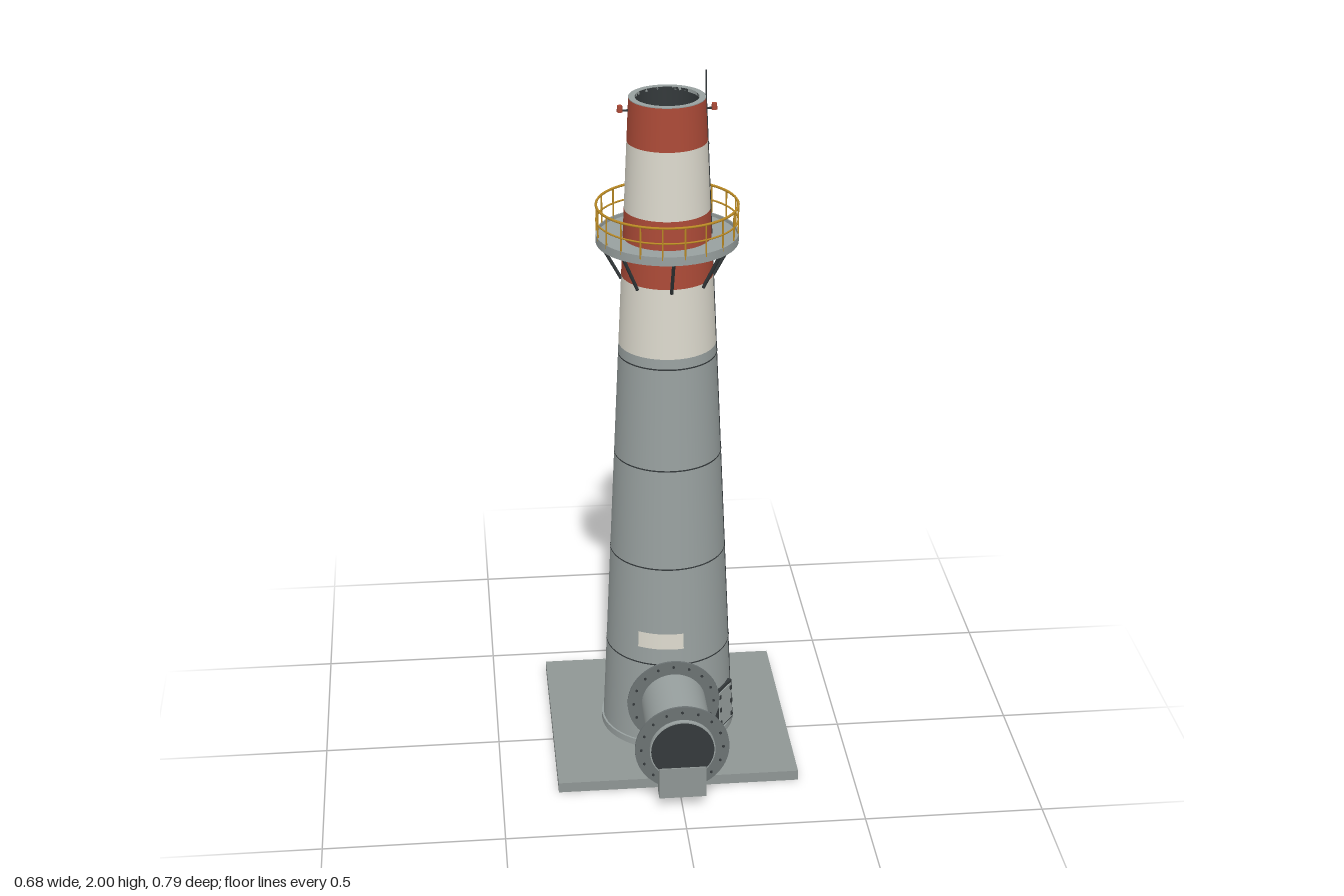
import * as THREE from 'three';

const mat = (name, color, side = THREE.FrontSide) => {
  const m = new THREE.MeshStandardMaterial({ color, side });
  m.name = name;
  return m;
};

export function createModel() {
  const steel = mat('grey steel', 0x98a09f, THREE.DoubleSide);
  const slabGrey = mat('concrete grey', 0x8f9694);
  const white = mat('off white', 0xdbd8cc, THREE.DoubleSide);
  const red = mat('warning red', 0xab4a37);
  const dark = mat('dark steel', 0x34393b, THREE.DoubleSide);
  const flangeGrey = mat('flange grey', 0x6b7273);
  const yellow = mat('rail yellow', 0xbd8c25);

  const model = new THREE.Group();
  model.name = 'chimney';
  // everything on the stack is placed around its own axis
  const stack = new THREE.Group();
  stack.name = 'stack';
  stack.position.z = -0.0565;
  model.add(stack);

  const add = (parent, name, geo, material, x = 0, y = 0, z = 0) => {
    const m = new THREE.Mesh(geo, material);
    m.name = name;
    m.position.set(x, y, z);
    parent.add(m);
    return m;
  };
  const group = (parent, name) => {
    const g = new THREE.Group();
    g.name = name;
    parent.add(g);
    return g;
  };
  const V = (x, y, z) => new THREE.Vector3(x, y, z);
  const polar = (r, y, a) => V(r * Math.sin(a), y, r * Math.cos(a));
  const bar = (parent, name, a, b, r, material, sides = 6) => {
    const d = b.clone().sub(a);
    const m = add(parent, name, new THREE.CylinderGeometry(r, r, d.length(), sides), material);
    m.position.copy(a).addScaledVector(d, 0.5);
    m.quaternion.setFromUnitVectors(V(0, 1, 0), d.normalize());
    return m;
  };
  const radius = y => 0.188 - (y - 0.04) * 0.045;
  const band = (name, y0, y1, material, proud = 0, start = 0, arc = Math.PI * 2) =>
    add(stack, name, new THREE.CylinderGeometry(radius(y1) + proud, radius(y0) + proud, y1 - y0,
      64, 1, true, start, arc), material, 0, (y0 + y1) / 2);
  const ring = (parent, name, inner, outer, y0, y1, material) => add(parent, name,
    new THREE.LatheGeometry([[inner, y0], [outer, y0], [outer, y0], [outer, y1], [outer, y1], [inner, y1],
      [inner, y1], [inner, y0]].map(p => new THREE.Vector2(...p)), 64), material);

  // foundation
  add(stack, 'foundation', new THREE.BoxGeometry(0.682, 0.03, 0.682), slabGrey, 0, 0.015);
  ring(stack, 'baseRing', 0.17, 0.193, 0.03, 0.05, steel);

  // tapered shell in painted bands
  band('shell', 0.03, 1.23, steel);
  band('lowerWhiteBand', 1.23, 1.43, white);
  band('lowerRedBand', 1.43, 1.62, red);
  band('upperWhiteBand', 1.62, 1.81, white);
  band('upperRedBand', 1.81, 1.93, red);
  for (const y of [0.3, 0.6, 0.9, 1.2]) band('weldSeam', y - 0.002, y + 0.002, dark, 0.0006);
  add(stack, 'liner', new THREE.CylinderGeometry(0.086, 0.086, 1.9, 64, 1, true), dark, 0, 0.98);
  ring(stack, 'rim', 0.086, 0.103, 1.922, 1.931, steel);

  // name plate curved around the shell
  band('plate', 0.352, 0.4, white, 0.004, -0.58, 0.75);

  // gallery: deck, brackets and railing
  const gallery = group(stack, 'gallery');
  ring(gallery, 'deck', 0.118, 0.192, 1.53, 1.54, steel);
  ring(gallery, 'toeBoard', 0.19, 0.194, 1.525, 1.55, steel);
  for (let i = 0; i < 8; i++) {
    const a = i * Math.PI / 4;
    bar(gallery, 'bracket', polar(0.126, 1.42, a), polar(0.185, 1.528, a), 0.005, dark);
    bar(gallery, 'deckBeam', polar(0.118, 1.527, a), polar(0.188, 1.527, a), 0.004, dark);
  }
  for (let i = 0; i < 20; i++) {
    const a = (i + 0.5) * Math.PI / 10;
    bar(gallery, 'railPost', polar(0.192, 1.54, a), polar(0.192, 1.63, a), 0.0025, yellow);
  }
  for (const [y, r] of [[1.63, 0.0035], [1.587, 0.0025]]) {
    add(gallery, 'handrail', new THREE.TorusGeometry(0.192, r, 6, 64), yellow, 0, y).rotation.x = Math.PI / 2;
  }

  // caged ladder following the slope at the back
  const ladder = group(stack, 'ladder');
  const back = (x, y, off) => V(x, y, -radius(y) - off);
  for (const s of [-1, 1]) {
    bar(ladder, 'ladderRail', back(s * 0.026, 0.04, 0.02), back(s * 0.026, 1.53, 0.02), 0.0028, dark);
    for (let y = 0.12; y < 1.5; y += 0.23)
      bar(ladder, 'standoff', back(s * 0.026, y, -0.004), back(s * 0.026, y, 0.02), 0.002, dark);
  }
  for (let y = 0.07; y < 1.52; y += 0.033)
    bar(ladder, 'rung', back(-0.026, y, 0.02), back(0.026, y, 0.02), 0.0018, dark);
  const cage = [[-0.026, 0.02], [-0.039, 0.04], [-0.036, 0.064], [-0.02, 0.079], [0, 0.083],
    [0.02, 0.079], [0.036, 0.064], [0.039, 0.04], [0.026, 0.02]];
  const hoopCount = 21;
  for (let i = 0; i < hoopCount; i++) {
    const y = 0.225 + i * 1.26 / (hoopCount - 1);
    const path = new THREE.CatmullRomCurve3(cage.map(([x, off]) => back(x, y, off)));
    add(ladder, 'cageHoop', new THREE.TubeGeometry(path, 24, 0.0015, 4), dark);
  }
  for (const i of [1, 2, 4, 6, 7]) {
    const [x, off] = cage[i];
    bar(ladder, 'cageStrip', back(x, 0.225, off), back(x, 1.485, off), 0.0013, dark, 4);
  }

  // lightning rod and its down conductor
  bar(stack, 'lightningRod', V(0.104, 1.86, 0), V(0.104, 2, 0), 0.0022, dark);
  bar(stack, 'downConductor', V(radius(0.04) + 0.001, 0.04, 0), V(radius(1.93) + 0.001, 1.93, 0), 0.002, dark);
  for (let y = 0.3; y < 1.9; y += 0.3)
    add(stack, 'conductorClip', new THREE.BoxGeometry(0.004, 0.005, 0.02), dark, radius(y) + 0.001, y);

  // obstruction lights on either side
  for (const s of [-1, 1]) {
    bar(stack, 'lightArm', V(s * 0.1, 1.895, 0), V(s * 0.127, 1.895, 0), 0.003, dark);
    add(stack, 'warningLight', new THREE.CylinderGeometry(0.007, 0.008, 0.018, 12), red, s * 0.126, 1.9);
  }

  // access door
  const door = group(stack, 'door');
  const doorAngle = 0.97;
  door.position.copy(polar(0.184, 0.118, doorAngle));
  door.rotation.set(-0.045, doorAngle, 0, 'YXZ');
  add(door, 'doorFrame', new THREE.BoxGeometry(0.09, 0.126, 0.014), dark);
  add(door, 'doorPanel', new THREE.BoxGeometry(0.074, 0.11, 0.008), steel, 0, 0, 0.006);
  for (const s of [-1, 1]) {
    for (const y of [-0.042, 0, 0.042])
      add(door, 'doorBolt', new THREE.BoxGeometry(0.008, 0.012, 0.008), dark, s * 0.032, y, 0.009);
  }

  // horizontal inlet duct with flanges and saddles
  const duct = group(model, 'inletDuct');
  duct.position.y = 0.184;
  const disc = (name, r, z0, z1, material) => {
    const m = add(duct, name, new THREE.CylinderGeometry(r, r, z1 - z0, 48), material, 0, 0, (z0 + z1) / 2);
    m.rotation.x = Math.PI / 2;
  };
  disc('ductBody', 0.0915, 0.05, 0.39, steel);
  disc('ductMouth', 0.088, 0.389, 0.392, dark);
  for (const z of [0.127, 0.374]) {
    disc('flange', 0.132, z - 0.003, z + 0.003, flangeGrey);
    for (let i = 0; i < 16; i++) {
      const p = polar(0.115, 0, i * Math.PI / 8);
      bar(duct, 'flangeBolt', V(p.x, p.z, z - 0.006), V(p.x, p.z, z + 0.006), 0.004, dark);
    }
  }
  add(model, 'frontSaddle', new THREE.BoxGeometry(0.132, 0.095, 0.04), slabGrey, 0, 0.0825, 0.376);
  add(model, 'rearSaddle', new THREE.BoxGeometry(0.132, 0.1, 0.04), slabGrey, 0, 0.08, 0.115);

  return model;
}
